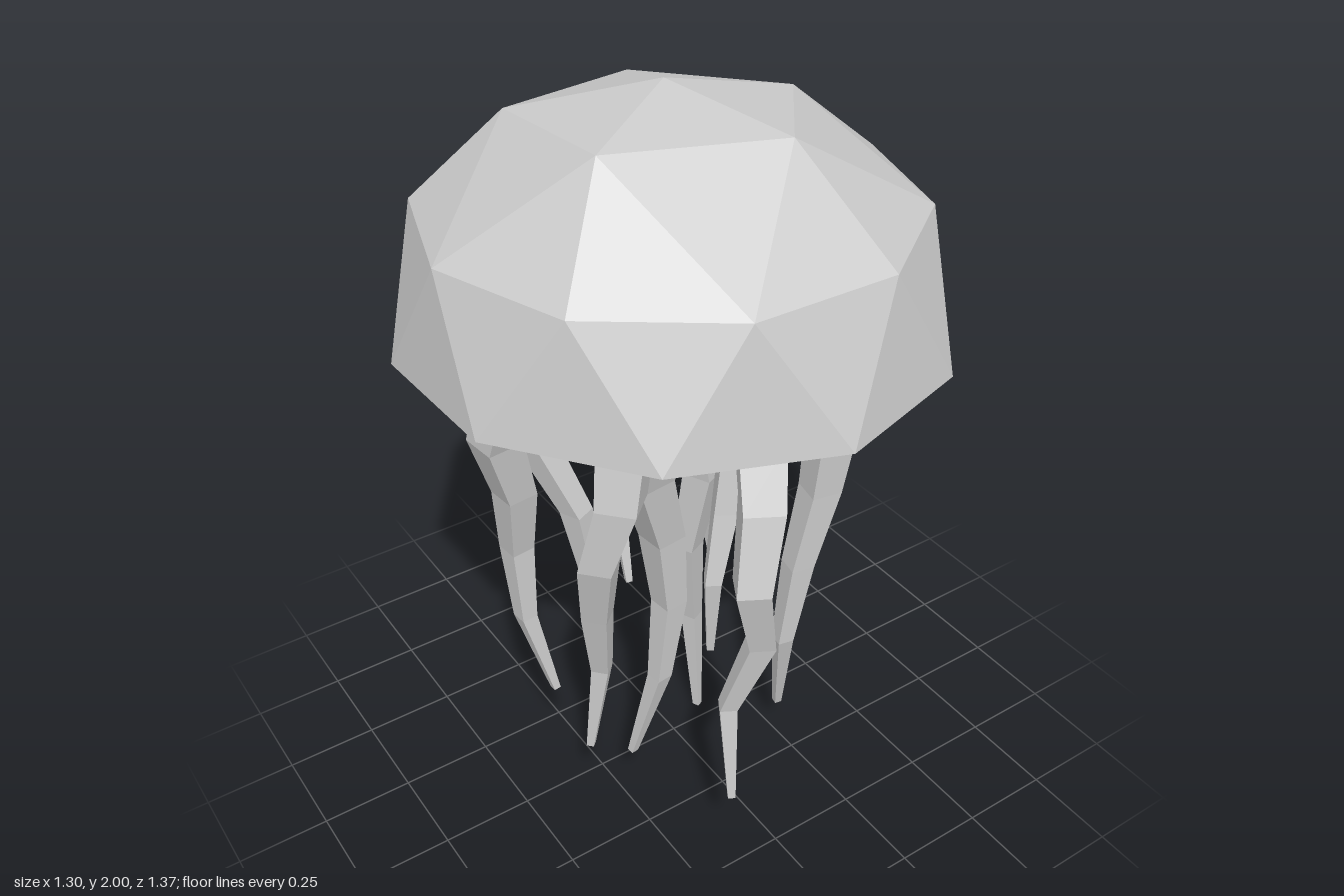
import * as THREE from 'three';

const material = new THREE.MeshStandardMaterial({ color: 0xcccccc, flatShading: true, side: THREE.DoubleSide });

// Faceted mesh from a list of triangles, each three [x, y, z] points
function facetMesh(name, triangles) {
  const geometry = new THREE.BufferGeometry();
  geometry.setAttribute('position', new THREE.Float32BufferAttribute(triangles.flat(2), 3));
  geometry.computeVertexNormals();
  const mesh = new THREE.Mesh(geometry, material);
  mesh.name = name;
  return mesh;
}

// Ring of points round the y axis; height(x, z) sets the level of each
function makeRing(count, radius, turn, centreZ, height) {
  return Array.from({ length: count }, (_, k) => {
    const angle = turn + (k / count) * Math.PI * 2;
    const x = radius * Math.cos(angle);
    const z = centreZ + radius * Math.sin(angle);
    return [x, height(x, z), z];
  });
}

// Bell: geodesic dome of apex, crown, shoulder and rim, with a shallow underside
function makeBell() {
  const apex = [0, 2, -0.04];
  const under = [0, 1.43, 0];
  const crown = makeRing(5, 0.363, 0.03, -0.045, (x, z) => 1.93 + 0.1 * z - 0.05 * x);
  const shoulder = makeRing(10, 0.61, 0, -0.015, (x, z) => 1.712 - 0.01 * x + 0.02 * z);
  const rim = makeRing(10, 0.684, Math.PI / 10, 0, (x, z) => 1.405 - 0.08 * x * z);
  const triangles = [];
  for (let k = 0; k < 5; k++) {
    const a = crown[k], b = crown[(k + 1) % 5];
    const s0 = shoulder[2 * k], s1 = shoulder[2 * k + 1], s2 = shoulder[(2 * k + 2) % 10];
    triangles.push([apex, b, a], [a, s1, s0], [a, b, s1], [b, s2, s1]);
  }
  for (let k = 0; k < 10; k++) {
    const n = (k + 1) % 10;
    triangles.push([shoulder[k], shoulder[n], rim[k]], [shoulder[n], rim[n], rim[k]], [under, rim[k], rim[n]]);
  }
  return facetMesh('bell', triangles);
}

// Tentacle: four-sided tapering strand that leaves the underside slanting outward,
// then bends in x and z at fixed shares of its length
function makeTentacle(xs, zs, tipY, twist) {
  const sides = 4;
  const shares = [0, 0.07, 0.2, 0.37, 0.55, 0.75, 1];
  const pathX = [xs[0] * 0.78, ...xs];
  const pathZ = [zs[0] * 0.78, ...zs];
  const rings = shares.map((share, i) => {
    const radius = 0.07 * (1 - share) + 0.014;
    const y = THREE.MathUtils.lerp(1.42, tipY, share);
    return makeRing(sides, radius, twist, pathZ[i], () => y).map(([x, h, z]) => [x + pathX[i], h, z]);
  });
  const triangles = [];
  for (let i = 0; i < rings.length - 1; i++) {
    for (let j = 0; j < sides; j++) {
      const n = (j + 1) % sides;
      const [a, b, c, d] = [rings[i][j], rings[i][n], rings[i + 1][n], rings[i + 1][j]];
      triangles.push([a, b, c], [a, c, d]);
    }
  }
  const [t0, t1, t2, t3] = rings[rings.length - 1];
  triangles.push([t0, t1, t2], [t0, t2, t3]);
  return facetMesh('tentacle', triangles);
}

export function createModel() {
  const group = new THREE.Group();
  group.name = 'jellyfish';
  group.add(makeBell());

  const tentacles = new THREE.Group();
  tentacles.name = 'tentacles';
  // Bends in x, bends in z (top to tip) and tip height
  const addTentacle = (xs, zs, tipY) => {
    tentacles.add(makeTentacle(xs, zs, tipY, 0.35 + tentacles.children.length * 0.63));
  };
  addTentacle([0.05, 0.08, 0.11, 0.08, 0.11, 0.12], [-0.04, -0.04, -0.02, -0.05, -0.07, -0.05], 0);
  addTentacle([0.33, 0.3, 0.28, 0.23, 0.2, 0.25], [0.25, 0.27, 0.26, 0.25, 0.24, 0.17], 0.12);
  addTentacle([0.39, 0.38, 0.4, 0.35, 0.3, 0.36], [-0.21, -0.21, -0.22, -0.22, -0.28, -0.32], 0.3);
  addTentacle([-0.22, -0.25, -0.19, -0.17, -0.2, -0.25], [0.28, 0.25, 0.23, 0.23, 0.23, 0.17], 0.21);
  addTentacle([-0.05, -0.09, -0.14, -0.09, -0.14, -0.15], [0.42, 0.49, 0.53, 0.51, 0.45, 0.49], 0.26);
  addTentacle([-0.28, -0.31, -0.26, -0.19, -0.16, -0.14], [-0.32, -0.31, -0.27, -0.19, -0.17, -0.17], 0.26);
  addTentacle([0.12, 0.1, 0.08, 0.09, 0.07, 0.07], [-0.42, -0.42, -0.38, -0.37, -0.41, -0.35], 0.3);
  addTentacle([-0.33, -0.36, -0.4, -0.38, -0.35, -0.38], [0.3, 0.32, 0.28, 0.23, 0.19, 0.17], 0.31);
  addTentacle([-0.46, -0.48, -0.43, -0.42, -0.42, -0.36], [-0.01, -0.05, -0.07, -0.1, -0.08, -0.05], 0.33);
  addTentacle([0.22, 0.21, 0.15, 0.11, 0.06, 0.07], [0.12, 0.1, 0.07, 0.08, 0.1, 0.08], 0.35);
  group.add(tentacles);
  return group;
}
